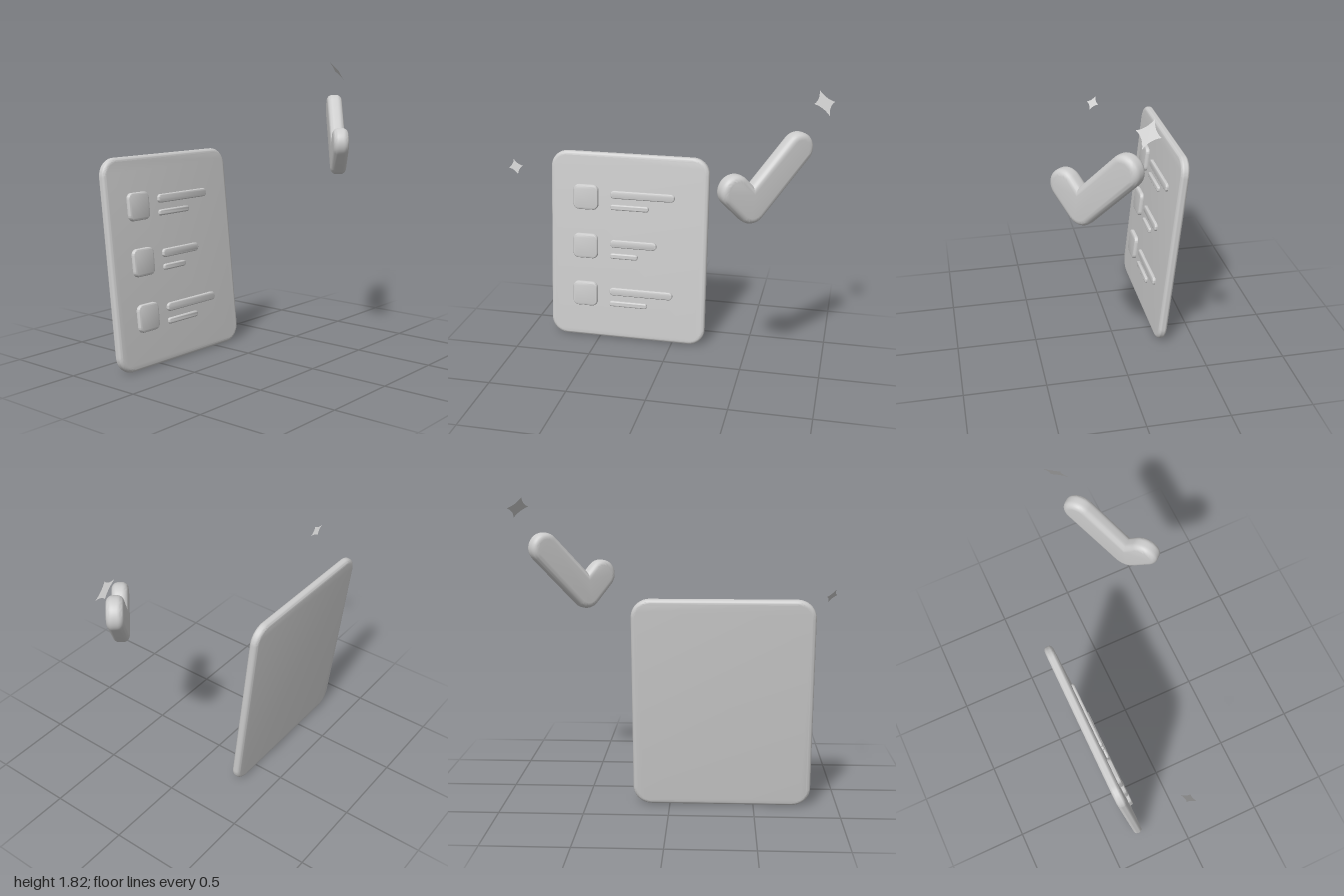
import * as THREE from 'three';
import { toCreasedNormals } from 'three/addons/utils/BufferGeometryUtils.js';

const grey = new THREE.MeshStandardMaterial({ color: 0xcccccc, side: THREE.DoubleSide });
grey.name = 'light grey';

// Rounded rectangle centred on the origin
function roundedRect(w, h, r) {
  const s = new THREE.Shape();
  const x = w / 2 - r, y = h / 2 - r;
  s.absarc(x, y, r, 0, Math.PI / 2);
  s.absarc(-x, y, r, Math.PI / 2, Math.PI);
  s.absarc(-x, -y, r, Math.PI, Math.PI * 1.5);
  s.absarc(x, -y, r, Math.PI * 1.5, Math.PI * 2);
  return s;
}

// Soft-edged slab of a shape, centred on z = 0; the bevel stays inside the outline
function slab(name, shape, thickness, bevel) {
  const geo = new THREE.ExtrudeGeometry(shape, {
    depth: thickness - 2 * bevel, bevelThickness: bevel, bevelSize: bevel,
    bevelOffset: -bevel, bevelSegments: 6, curveSegments: 10,
  });
  geo.translate(0, 0, -(thickness - 2 * bevel) / 2);
  const mesh = new THREE.Mesh(toCreasedNormals(geo, 0.7), grey);
  mesh.name = name;
  return mesh;
}

// Leaning board with three list rows
function createBoard() {
  const board = new THREE.Group();
  board.name = 'board';
  const t = 0.055;
  board.add(slab('panel', roundedRect(1.06, 1.27, 0.11), t, 0.025));

  const raised = (name, x0, x1, y, h, r, rise) => {
    const m = slab(name, roundedRect(x1 - x0, h, r), rise * 2, rise * 0.5);
    m.position.set((x0 + x1) / 2, y, t / 2);
    board.add(m);
  };
  [[0.43, 0.26], [0.315, 0.19], [0.43, 0.26]].forEach(([long, short], i) => {
    const y = 0.336 - i * 0.333;
    raised('checkbox', -0.37, -0.203, y, 0.167, 0.036, 0.023);
    raised('titleLine', -0.12, -0.12 + long, y + 0.027, 0.052, 0.0255, 0.017);
    raised('detailLine', -0.12, -0.12 + short, y - 0.058, 0.036, 0.0175, 0.017);
  });
  board.position.set(-0.31, 0.634, -0.35);
  board.rotation.x = -0.105;
  return board;
}

// Tick made of two rounded arms at 45 degrees
function createCheckMark() {
  const r = 0.095, q = Math.PI / 4, vx = -0.1, vy = 1.202;
  const shortArm = 0.112, longArm = 0.305;
  const s = new THREE.Shape();
  s.absarc(vx, vy, r, -3 * q, -q);
  s.absarc(vx + longArm, vy + longArm, r, -q, 3 * q);
  s.lineTo(vx, vy + r * Math.SQRT2);
  s.absarc(vx - shortArm, vy + shortArm, r, q, 5 * q);
  const mark = slab('checkMark', s, 0.097, 0.036);
  mark.position.set(0.643, 0, 0.213);
  mark.rotation.y = 0.7;
  return mark;
}

// Thin four-pointed star with concave sides
function createSparkle(x, y, z, size) {
  const a = 0.077, b = 0.083, c = 0.022;
  const s = new THREE.Shape();
  s.moveTo(a, 0);
  s.quadraticCurveTo(c, c, 0, b);
  s.quadraticCurveTo(-c, c, -a, 0);
  s.quadraticCurveTo(-c, -c, 0, -b);
  s.quadraticCurveTo(c, -c, a, 0);
  const star = new THREE.Mesh(new THREE.ShapeGeometry(s, 8), grey);
  star.name = 'sparkle';
  const side = new THREE.Vector3(0.056, -0.003, -0.053).normalize();
  const normal = side.clone().cross(new THREE.Vector3(-0.035, 0.064, -0.0385)).normalize();
  const up = normal.clone().cross(side);
  star.quaternion.setFromRotationMatrix(new THREE.Matrix4().makeBasis(side, up, normal));
  star.position.set(x, y, z);
  star.scale.setScalar(size);
  return star;
}

export function createModel() {
  const model = new THREE.Group();
  model.name = 'checklist';
  model.add(
    createBoard(),
    createCheckMark(),
    createSparkle(0.938, 1.758, 0.005, 1),
    createSparkle(-0.963, 1.24, -0.065, 0.63),
  );
  return model;
}
